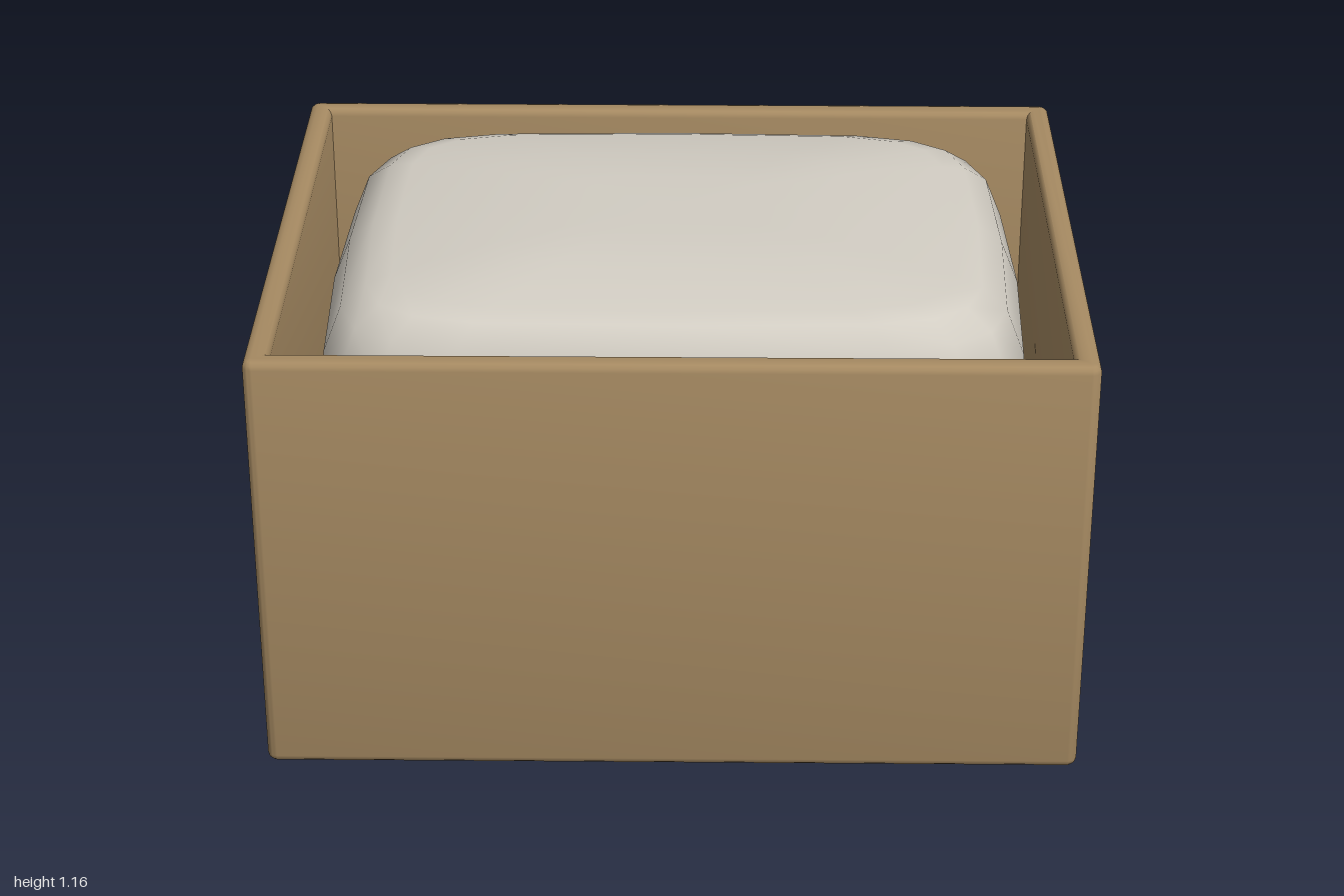
import * as THREE from 'three';
import { toCreasedNormals, mergeVertices } from 'three/addons/utils/BufferGeometryUtils.js';

const W = 1, D = 0.775, H = 1.113; // half width, half depth, height
const WALL = 0.06, BEVEL = 0.02;

// Rectangle path with softly rounded corners
function roundedRect(path, x, z, r) {
  path.absarc(x - r, z - r, r, 0, Math.PI / 2);
  path.absarc(-x + r, z - r, r, Math.PI / 2, Math.PI);
  path.absarc(-x + r, -z + r, r, Math.PI, Math.PI * 1.5);
  path.absarc(x - r, -z + r, r, Math.PI * 1.5, Math.PI * 2);
  path.closePath();
  return path;
}

// Open frame of four walls with bevelled rim and foot
function wallsGeometry() {
  const shape = roundedRect(new THREE.Shape(), W - BEVEL, D - BEVEL, 0.006);
  const hole = new THREE.Path();
  const hx = W - WALL + BEVEL, hz = D - WALL + BEVEL;
  hole.moveTo(-hx, -hz).lineTo(-hx, hz).lineTo(hx, hz).lineTo(hx, -hz).closePath();
  shape.holes.push(hole);
  const g = new THREE.ExtrudeGeometry(shape, {
    depth: H - 2 * BEVEL, bevelEnabled: true, bevelThickness: BEVEL,
    bevelSize: BEVEL, bevelSegments: 3, curveSegments: 3,
  });
  g.rotateX(-Math.PI / 2).translate(0, BEVEL, 0);
  return toCreasedNormals(g, 0.75);
}

// Soft cushion: one plan outline scaled through a list of heights
function cushionGeometry() {
  const quarter = [[0.885, 0], [0.87, 0.41], [0.82, 0.54], [0.72, 0.61], [0.55, 0.648], [0, 0.662]];
  const outline = [];
  for (let q = 0; q < 4; q++) {
    const sx = q === 0 || q === 3 ? 1 : -1, sz = q < 2 ? 1 : -1;
    const pts = q % 2 ? [...quarter].reverse() : quarter;
    pts.slice(0, -1).forEach(([x, z]) => outline.push([x * sx, z * sz]));
  }
  const mid = 0.615, half = 0.55;
  const upper = [[0.25, 0.998], [0.5, 0.99], [0.79, 0.936], [0.86, 0.905], [0.93, 0.82], [0.98, 0.62]];
  const rings = [...upper, [1, 0], ...upper.map(([s, y]) => [s, -y]).reverse()];

  const n = outline.length, pos = [0, mid + half, 0], idx = [];
  for (const [s, y] of rings) {
    for (const [x, z] of outline) pos.push(x * s, mid + half * y, z * s);
  }
  const last = pos.length / 3;
  pos.push(0, mid - half, 0);
  for (let i = 0; i < n; i++) {
    const j = (i + 1) % n;
    idx.push(0, 1 + j, 1 + i);
    for (let r = 0; r < rings.length - 1; r++) {
      const a = 1 + r * n, b = a + n;
      idx.push(a + i, a + j, b + i, a + j, b + j, b + i);
    }
    const e = last - n;
    idx.push(last, e + i, e + j);
  }
  const g = new THREE.BufferGeometry();
  g.setAttribute('position', new THREE.Float32BufferAttribute(pos, 3));
  g.setIndex(idx);
  const merged = mergeVertices(g);
  merged.computeVertexNormals();
  return merged;
}

export function createModel() {
  const wood = new THREE.MeshStandardMaterial({ color: 0xa68a62 });
  wood.name = 'tan wood';
  const fabric = new THREE.MeshStandardMaterial({ color: 0xd2cdc3 });
  fabric.name = 'off-white fabric';

  const model = new THREE.Group();
  model.name = 'cushionedBox';
  const add = (name, geometry, material) => {
    const mesh = new THREE.Mesh(geometry, material);
    mesh.name = name;
    model.add(mesh);
    return mesh;
  };

  add('walls', wallsGeometry(), wood);

  // Floor panel closing the frame from below
  const floor = new THREE.BoxGeometry(2 * (W - WALL + BEVEL), WALL, 2 * (D - WALL + BEVEL));
  add('floor', floor.translate(0, WALL / 2, 0), wood);

  add('cushion', cushionGeometry(), fabric);
  return model;
}
